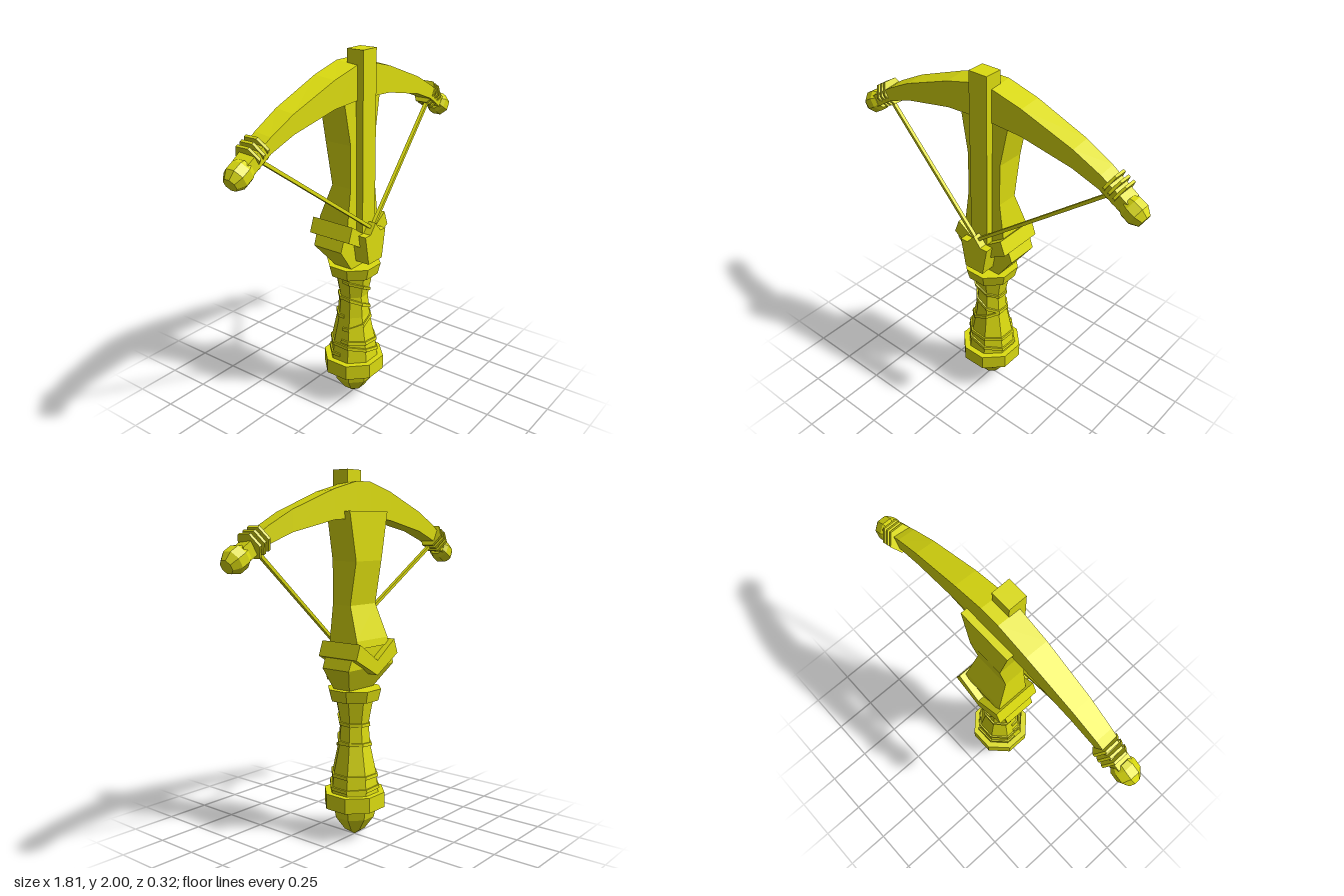
import * as THREE from 'three';

const yellow = new THREE.MeshStandardMaterial({ color: 0xdcdc10, flatShading: true });
yellow.name = 'yellow';

function add(parent, name, geometry) {
  const mesh = new THREE.Mesh(geometry, yellow);
  mesh.name = name;
  parent.add(mesh);
  return mesh;
}

// Skin convex cross-sections of equal point count, capped, facing outwards
function loft(sections) {
  const tris = [];
  const n = sections[0].length;
  for (let i = 0; i < sections.length - 1; i++) {
    const a = sections[i], b = sections[i + 1];
    for (let j = 0; j < n; j++) {
      const k = (j + 1) % n;
      tris.push([a[j], a[k], b[k]], [a[j], b[k], b[j]]);
    }
  }
  const first = sections[0], last = sections[sections.length - 1];
  for (let j = 1; j < n - 1; j++) {
    tris.push([first[0], first[j + 1], first[j]], [last[0], last[j], last[j + 1]]);
  }
  let volume = 0;
  for (const [a, b, c] of tris) {
    volume += new THREE.Vector3(...a).dot(new THREE.Vector3(...b).cross(new THREE.Vector3(...c)));
  }
  if (volume < 0) tris.forEach((t) => t.reverse());
  const g = new THREE.BufferGeometry();
  g.setAttribute('position', new THREE.Float32BufferAttribute(tris.flat(2), 3));
  g.computeVertexNormals();
  return g;
}

// Lathe with flat faces to front and sides; profile is [radius to flat, height]
const K = Math.cos(Math.PI / 8);
function octagon(profile) {
  const pts = profile.map(([r, y]) => new THREE.Vector2(r / K, y));
  return new THREE.LatheGeometry(pts, 8, Math.PI / 8);
}

// Flat outline extruded from z0 to z1
function plate(points, z0, z1) {
  const shape = new THREE.Shape(points.map(([x, y]) => new THREE.Vector2(x, y)));
  return new THREE.ExtrudeGeometry(shape, { depth: z1 - z0, bevelEnabled: false }).translate(0, 0, z0);
}

const gripProfile = [[0.13, 0.25], [0.115, 0.38], [0.085, 0.53], [0.075, 0.65], [0.1, 0.79]];
function gripRadius(y) {
  for (let i = 1; i < gripProfile.length; i++) {
    const [r0, y0] = gripProfile[i - 1], [r1, y1] = gripProfile[i];
    if (y <= y1) return r0 + (r1 - r0) * (y - y0) / (y1 - y0);
  }
  return 0.1;
}

// Half turn of cord around the grip, front (dir 1) or back (dir -1)
function halfWrap(dir, yRight, yLeft) {
  const angles = [0, 22.5, 67.5, 112.5, 157.5, 180];
  return loft(angles.map((deg) => {
    const a = THREE.MathUtils.degToRad(deg);
    const f = (1 + Math.cos(a)) / 2;
    const y = yRight + (yLeft - yRight) * f;
    const k = deg % 180 === 0 ? 1 : 1 / K;
    const point = (extra, dy) => {
      const r = (gripRadius(y + dy) + extra) * k;
      return [r * Math.cos(a), y + dy, dir * r * Math.sin(a)];
    };
    return [point(-0.01, -0.009), point(0.008, -0.009), point(0.008, 0.009), point(-0.01, 0.009)];
  }));
}

export function createModel() {
  const model = new THREE.Group();
  model.name = 'crossbow';

  // Handle
  const handle = new THREE.Group();
  handle.name = 'handle';
  model.add(handle);
  add(handle, 'pommel', octagon([[0, 0.005], [0.055, 0.045], [0.105, 0.12], [0.12, 0.2], [0, 0.2]]));
  add(handle, 'pommelRing', octagon([[0, 0.18], [0.16, 0.18], [0.16, 0.265], [0, 0.265]]));
  add(handle, 'grip', octagon(gripProfile));
  add(handle, 'collar', octagon([[0, 0.78], [0.125, 0.78], [0.14, 0.845], [0, 0.845]]));
  const wraps = [
    [1, 0.75, 0.65], [-1, 0.64, 0.65], [1, 0.64, 0.545], [-1, 0.53, 0.545], [1, 0.46, 0.545],
    [1, 0.39, 0.365], [-1, 0.36, 0.365], [1, 0.36, 0.29], [-1, 0.3, 0.29],
  ];
  for (const w of wraps) add(handle, 'gripWrap', halfWrap(...w));

  // Stock and rail: [y, half width, front z, back z]
  const block = (rows) => loft(rows.map(([y, w, f, b]) => [[-w, y, f], [w, y, f], [w, y, b], [-w, y, b]]));
  add(model, 'stock', block([
    [1.08, 0.135, 0.06, -0.13], [1.12, 0.13, 0.06, -0.125], [1.3, 0.105, 0.06, -0.06],
    [1.53, 0.105, 0.06, -0.1], [1.785, 0.155, 0.055, -0.1],
  ]));
  add(model, 'stockBase', block([
    [0.835, 0.095, 0.06, -0.045], [0.97, 0.19, 0.06, -0.12], [1.1, 0.14, 0.06, -0.125],
  ]));
  add(model, 'rail', new THREE.BoxGeometry(0.11, 1.03, 0.1).translate(0, 1.485, 0.05));

  // Chevron guard and string catch
  add(model, 'guard', plate([
    [0, 0.93], [0.175, 1.03], [0.145, 1.11], [0, 1.01], [-0.145, 1.11], [-0.175, 1.03],
  ], -0.16, 0.1));
  add(model, 'catch', plate([
    [0.06, 0.88], [0.09, 1.045], [0.045, 1.045], [0, 1.1], [-0.045, 1.045], [-0.09, 1.045], [-0.06, 0.88],
  ], 0.05, 0.145));

  // Bow: [x, top y, bottom y, half depth], mirrored through the middle
  const half = [
    [0.055, 1.925, 1.75, 0.064], [0.23, 1.88, 1.74, 0.062], [0.52, 1.775, 1.68, 0.054],
    [0.67, 1.7, 1.625, 0.048], [0.82, 1.605, 1.53, 0.042],
  ];
  const rows = [...half.map(([x, ...r]) => [-x, ...r]).reverse(), ...half];
  add(model, 'bow', loft(rows.map(([x, t, b, d]) => [[x, b, d], [x, t, d], [x, t + 0.012, -d], [x, b, -d]])));

  // Bow ends, bindings and string on both sides
  for (const s of [-1, 1]) {
    const side = s > 0 ? 'left' : 'right';
    const tilt = -s * (Math.PI / 2 + 0.52);
    const knob = add(model, side + 'BowTip', octagon([
      [0, -0.055], [0.045, -0.055], [0.058, -0.03], [0.058, 0.02], [0.035, 0.06], [0, 0.06],
    ]));
    knob.position.set(s * 0.835, 1.558, 0);
    knob.rotation.z = tilt;
    for (let i = 0; i < 3; i++) {
      const ring = add(model, side + 'Binding', new THREE.CylinderGeometry(0.073, 0.073, 0.014, 6));
      ring.position.set(s * (0.7 + i * 0.028), 1.652 - i * 0.016, -0.012);
      ring.rotation.z = tilt;
    }
    const from = [s * 0.71, 1.6, 0], to = [0, 1.065, 0.12];
    add(model, side + 'String', loft([from, to].map(([x, y, z]) => [
      [x - s * 0.005, y + 0.007, z - 0.01], [x - s * 0.005, y + 0.007, z + 0.01],
      [x + s * 0.005, y - 0.007, z + 0.01], [x + s * 0.005, y - 0.007, z - 0.01],
    ])));
  }
  return model;
}
